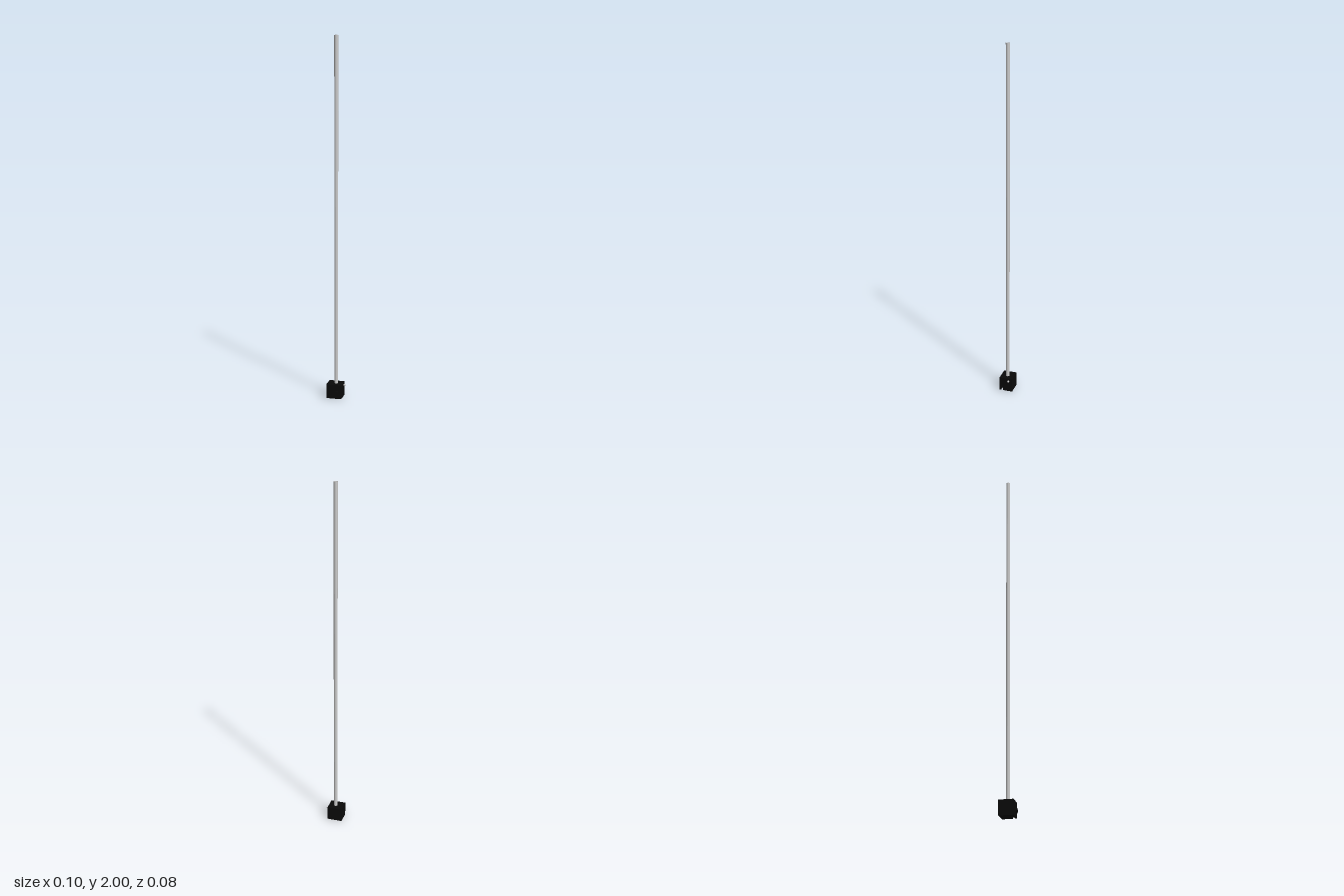
import * as THREE from 'three';

const black = new THREE.MeshStandardMaterial({ color: 0x0a0a0a });
const grey = new THREE.MeshStandardMaterial({ color: 0xcccccc });

function add(parent, name, geometry, material, x, y, z) {
  const mesh = new THREE.Mesh(geometry, material);
  mesh.name = name;
  mesh.position.set(x, y, z);
  parent.add(mesh);
  return mesh;
}

// Box given by its lower and upper limits on each axis
function addBlock(parent, name, [x0, x1], [y0, y1], [z0, z1]) {
  return add(parent, name, new THREE.BoxGeometry(x1 - x0, y1 - y0, z1 - z0), black,
    (x0 + x1) / 2, (y0 + y1) / 2, (z0 + z1) / 2);
}

export function createModel() {
  const model = new THREE.Group();
  model.name = 'poleOnBase';
  const poleX = -0.002, poleZ = -0.004;

  // Base housing with a small blind slot low on its +x side
  const base = new THREE.Group();
  base.name = 'base';
  model.add(base);
  addBlock(base, 'baseTop', [-0.05, 0.036], [0.03, 0.08], [-0.043, 0.034]);
  addBlock(base, 'baseRear', [-0.05, 0.036], [0, 0.03], [-0.043, 0.012]);
  addBlock(base, 'baseFront', [-0.05, 0.036], [0, 0.03], [0.025, 0.034]);
  addBlock(base, 'baseSlotEnd', [-0.05, 0.01], [0, 0.03], [0.012, 0.025]);

  // Round dial on the front face
  const dial = add(base, 'frontDial', new THREE.CylinderGeometry(0.013, 0.013, 0.007, 32),
    black, 0.007, 0.033, 0.0375);
  dial.rotation.x = Math.PI / 2;

  // Rounded pin on the +x face
  const pinProfile = [[0, 0], [0.005, 0], [0.005, 0.009], [0.0035, 0.0115], [0, 0.0125]]
    .map(([r, y]) => new THREE.Vector2(r, y));
  const pin = add(base, 'sidePin', new THREE.LatheGeometry(pinProfile, 24), grey, 0.036, 0.065, -0.021);
  pin.rotation.z = -Math.PI / 2;

  // Hollow pole
  const outline = new THREE.Shape().absarc(0, 0, 0.0108, 0, Math.PI * 2);
  outline.holes.push(new THREE.Path().absarc(0, 0, 0.0085, 0, Math.PI * 2, true));
  const tube = new THREE.ExtrudeGeometry(outline, { depth: 1.93, bevelEnabled: false, curveSegments: 32 });
  tube.rotateX(-Math.PI / 2);
  add(model, 'pole', tube, grey, poleX, 0.07, poleZ);

  // Dark core filling the pole
  add(model, 'poleCore', new THREE.CylinderGeometry(0.0086, 0.0086, 1.925, 32), black,
    poleX, 0.07 + 1.925 / 2, poleZ);

  return model;
}
